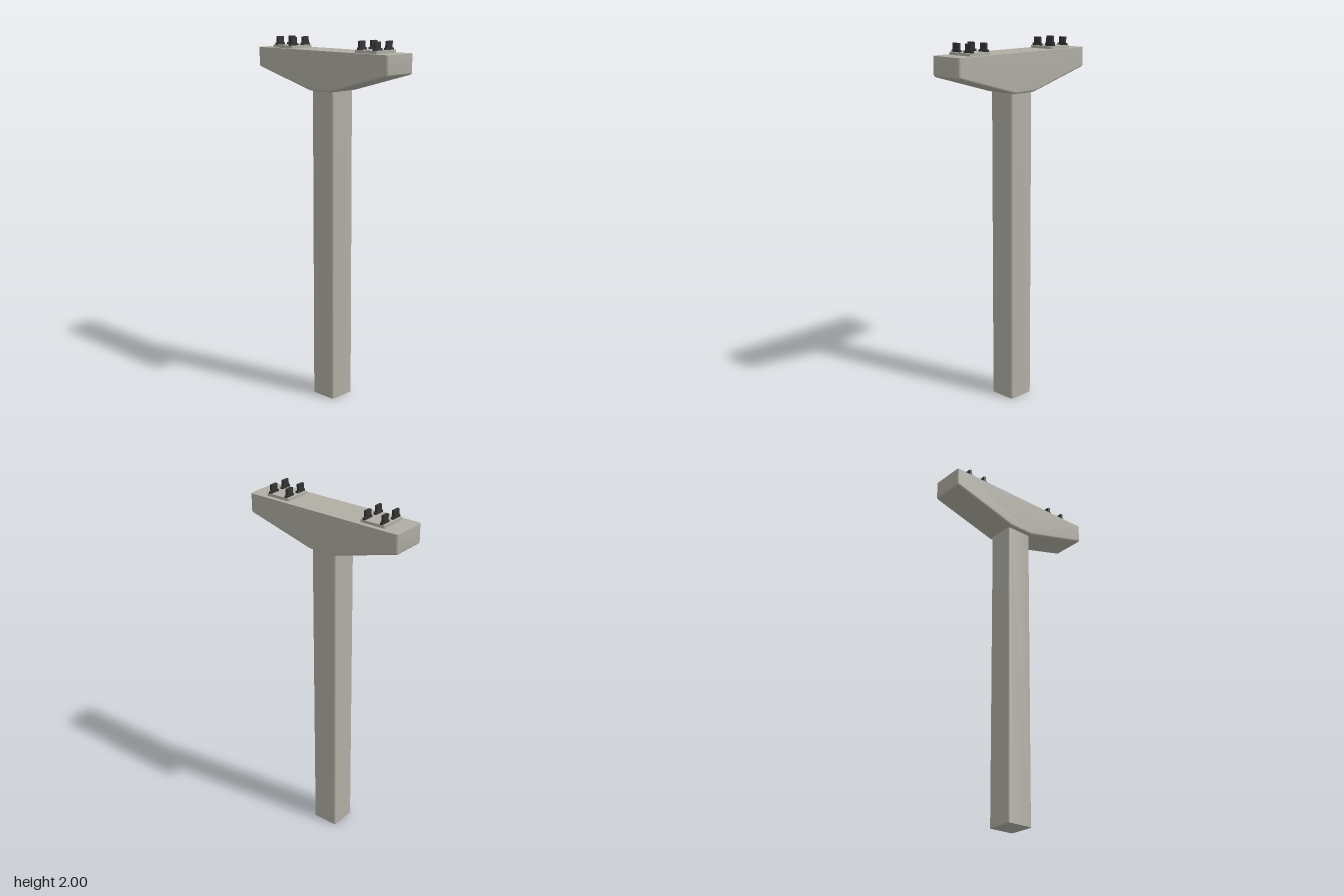
import * as THREE from 'three';
import { toCreasedNormals } from 'three/addons/utils/BufferGeometryUtils.js';

const TOP = 1.94; // top of the cap beam
const R = 0.013; // rounding of the concrete edges

// Closed outline whose listed corners are softened with a small curve
function roundedShape(points, r) {
  const shape = new THREE.Shape();
  const p = points.map(([x, y]) => new THREE.Vector2(x, y));
  const toward = (a, b) => b.clone().sub(a).setLength(r).add(a);
  p.forEach((c, i) => {
    const a = toward(c, p[(i + p.length - 1) % p.length]);
    const b = toward(c, p[(i + 1) % p.length]);
    if (i === 0) shape.moveTo(a.x, a.y);
    else shape.lineTo(a.x, a.y);
    shape.quadraticCurveTo(c.x, c.y, b.x, b.y);
  });
  shape.closePath();
  return shape;
}

function columnGeometry() {
  const w = 0.077;
  const shape = roundedShape([[-w, -w], [w, -w], [w, w], [-w, w]], R);
  const geo = new THREE.ExtrudeGeometry(shape, { depth: 1.74, bevelEnabled: false, curveSegments: 8 });
  geo.rotateX(-Math.PI / 2);
  return toCreasedNormals(geo, 0.3);
}

// Hammerhead beam: bevelled all round, then cut flat so the top edge is sharp
function capGeometry() {
  const shape = roundedShape([
    [-0.075, 1.727], [0.075, 1.727], [0.47, 1.835],
    [0.47, TOP + 0.04], [-0.47, TOP + 0.04], [-0.47, 1.835],
  ], R);
  const geo = new THREE.ExtrudeGeometry(shape, {
    depth: 0.2 - 2 * R, bevelThickness: R, bevelSize: R, bevelOffset: -R,
    bevelSegments: 8, curveSegments: 8,
  });
  geo.translate(0, 0, -0.1 + R);
  const pos = geo.attributes.position;
  for (let i = 0; i < pos.count; i++) pos.setY(i, Math.min(pos.getY(i), TOP));
  return toCreasedNormals(geo, 0.25);
}

export function createModel() {
  const concrete = new THREE.MeshStandardMaterial({ color: 0xb0aea4 });
  concrete.name = 'concrete';
  const steel = new THREE.MeshStandardMaterial({ color: 0x343434 });
  steel.name = 'dark steel';

  const model = new THREE.Group();
  model.name = 'pier';
  const add = (parent, name, geo, mat, x = 0, y = 0, z = 0) => {
    const mesh = new THREE.Mesh(geo, mat);
    mesh.name = name;
    mesh.position.set(x, y, z);
    parent.add(mesh);
  };

  add(model, 'column', columnGeometry(), concrete);
  add(model, 'capBeam', capGeometry(), concrete);

  // Two bearing pads, each with four stepped steel clips
  const pad = new THREE.BoxGeometry(0.145, 0.015, 0.15);
  const clipFoot = new THREE.BoxGeometry(0.014, 0.012, 0.06);
  const clipPlate = new THREE.BoxGeometry(0.014, 0.035, 0.042);
  for (const side of [-1, 1]) {
    const bearing = new THREE.Group();
    bearing.name = side > 0 ? 'leftBearing' : 'rightBearing';
    bearing.position.set(side * 0.302, TOP, 0);
    add(bearing, 'bearingPad', pad, concrete, 0, 0.0075, 0);
    for (const x of [-0.052, 0.052]) {
      for (const z of [-0.045, 0.045]) {
        add(bearing, 'clipFoot', clipFoot, steel, x, 0.02, z);
        add(bearing, 'clipPlate', clipPlate, steel, x, 0.0425, z);
      }
    }
    model.add(bearing);
  }
  return model;
}
